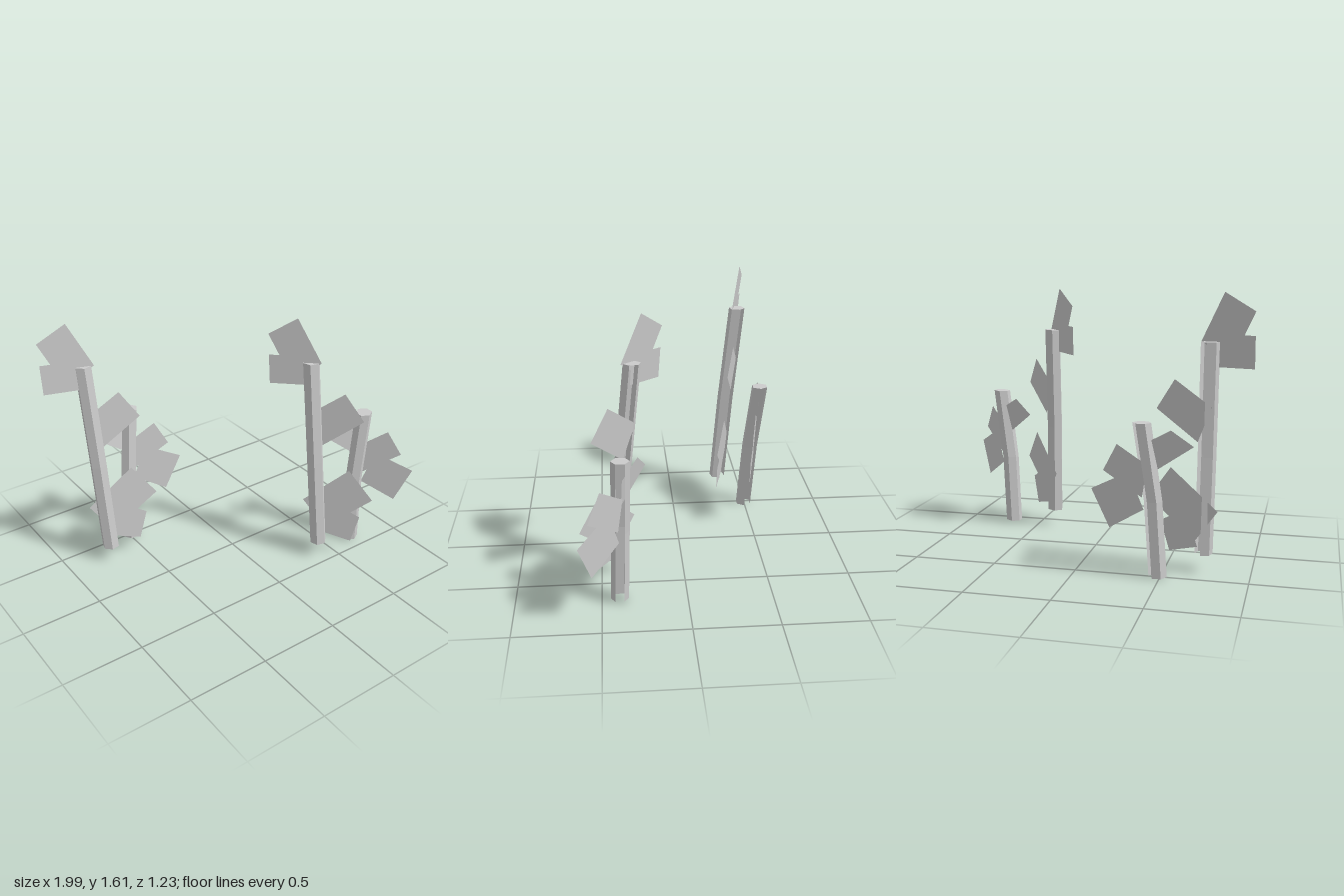
import * as THREE from 'three';
import { mergeGeometries } from 'three/addons/utils/BufferGeometryUtils.js';

const material = new THREE.MeshStandardMaterial({
  color: 0xcccccc, flatShading: true, side: THREE.DoubleSide,
});

// Hexagonal stalk bent through three points [x, y, z]; one rear face is left open.
function makeStalk(name, points, radius, yaw) {
  const wall = new THREE.CylinderGeometry(
    radius, radius, 2, 5, 2, true, Math.PI * 5 / 6, Math.PI * 5 / 3);
  const cap = new THREE.CircleGeometry(radius, 6).rotateX(-Math.PI / 2).translate(0, 1, 0);
  const geometry = mergeGeometries([wall, cap]).rotateY(yaw);
  const pos = geometry.attributes.position;
  for (let i = 0; i < pos.count; i++) {
    const [x, y, z] = points[Math.round(pos.getY(i) + 1)];
    pos.setXYZ(i, pos.getX(i) + x, y, pos.getZ(i) + z);
  }
  geometry.computeVertexNormals();
  const mesh = new THREE.Mesh(geometry, material);
  mesh.name = name;
  return mesh;
}

// Flat leaf made of four-sided blades; plane gives z at the first corner and its slopes in x and y.
function makeLeaf(name, [z0, slopeX, slopeY], blades) {
  const [x0, y0] = blades[0][0];
  const geometry = mergeGeometries(blades.map((corners) => new THREE.ShapeGeometry(
    new THREE.Shape(corners.map(([x, y]) => new THREE.Vector2(x, y))))));
  const pos = geometry.attributes.position;
  for (let i = 0; i < pos.count; i++) {
    pos.setZ(i, z0 + slopeX * (pos.getX(i) - x0) + slopeY * (pos.getY(i) - y0));
  }
  geometry.computeVertexNormals();
  const mesh = new THREE.Mesh(geometry, material);
  mesh.name = name;
  return mesh;
}

// A tall and a short stalk with their leaves, pivoting at the foot of the tall one.
function makeClump(name) {
  const plants = new THREE.Group();
  plants.name = 'plants';
  plants.add(
    makeStalk('tallStalk',
      [[-0.725, 0.115, -0.335], [-0.74, 0.7, -0.385], [-0.755, 1.35, -0.455]], 0.053, 0.25),
    makeStalk('shortStalk',
      [[-0.485, 0.01, -0.495], [-0.46, 0.46, -0.525], [-0.4, 0.91, -0.57]], 0.053, 0),
    makeLeaf('tallTopLeaf', [-0.52, 0.3, -0.09], [
      [[-1, 1.52], [-0.87, 1.24], [-0.7, 1.35], [-0.83, 1.62]],
      [[-1, 1.39], [-1, 1.21], [-0.78, 1.21], [-0.78, 1.39]],
    ]),
    makeLeaf('tallMiddleLeaf', [-0.36, 0.3, -0.09], [
      [[-0.445, 0.96], [-0.555, 1.135], [-0.77, 0.99], [-0.69, 0.785]],
    ]),
    makeLeaf('tallLowerLeaf', [-0.295, 0.3, -0.09], [
      [[-0.39, 0.42], [-0.53, 0.62], [-0.81, 0.39], [-0.68, 0.2]],
      [[-0.465, 0.29], [-0.62, 0.38], [-0.69, 0.16], [-0.52, 0.11]],
    ]),
    makeLeaf('shortLeftLeaf', [-0.565, -0.025, -0.19], [
      [[-0.69, 0.785], [-0.45, 0.62], [-0.41, 0.79], [-0.565, 0.875]],
    ]),
    makeLeaf('shortRightLeaf', [-0.475, 0.23, -0.05], [
      [[-0.09, 0.5], [-0.32, 0.62], [-0.41, 0.41], [-0.2, 0.28]],
      [[-0.25, 0.775], [-0.43, 0.67], [-0.4, 0.48], [-0.165, 0.615]],
    ]),
  );
  plants.position.set(0.725, -0.11, 0.335);
  const clump = new THREE.Group();
  clump.name = name;
  clump.add(plants);
  return clump;
}

export function createModel() {
  const model = new THREE.Group();
  model.name = 'stalkClumps';

  const back = makeClump('backClump');
  back.position.set(-0.725, 0.11, -0.335);

  // The front clump is the same plant turned and leaning slightly.
  const front = makeClump('frontClump');
  front.position.set(0.39, 0.11, 0.41);
  front.rotation.set(0, -0.54, 0.05, 'ZYX');

  model.add(back, front);
  return model;
}
